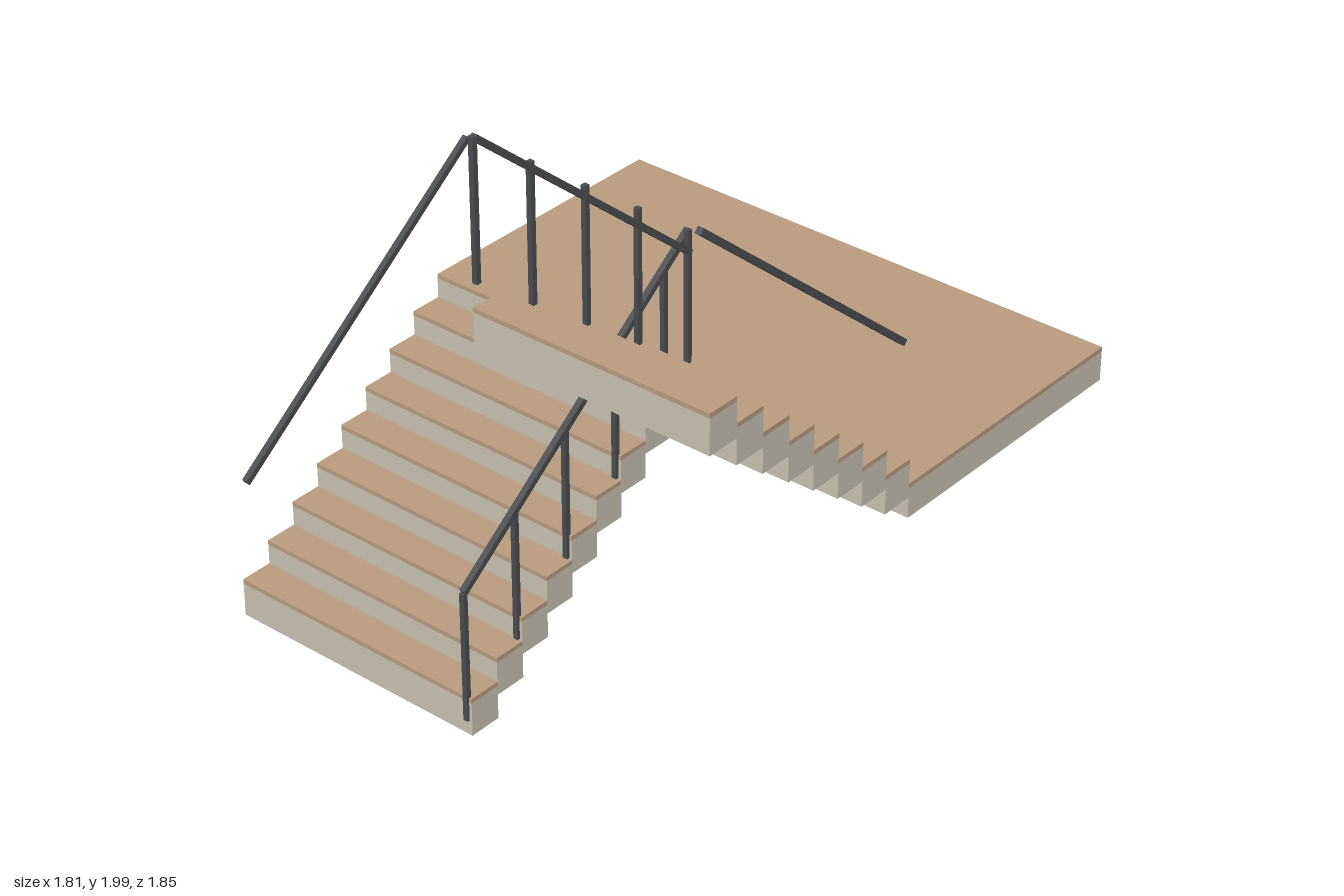
import * as THREE from 'three';

const concrete = new THREE.MeshStandardMaterial({ name: 'concrete', color: 0xc8c2b2 });
const tread = new THREE.MeshStandardMaterial({ name: 'woodTread', color: 0xba9c7f });
const metal = new THREE.MeshStandardMaterial({ name: 'darkMetal', color: 0x4a4d50 });

const STEPS = 8, DEPTH = 0.1106, RISE = 0.0833, HEIGHT = 0.13;
const FRONT = 0.915, LANDING_EDGE = 0.03, COVER = 0.015, BAR = 0.02;

// Box given by its extents on each axis
function block(name, material, x0, x1, y0, y1, z0, z1) {
  const mesh = new THREE.Mesh(new THREE.BoxGeometry(x1 - x0, y1 - y0, z1 - z0), material);
  mesh.position.set((x0 + x1) / 2, (y0 + y1) / 2, (z0 + z1) / 2);
  mesh.name = name;
  return mesh;
}

// Concrete slab with a thin wooden cover
function slab(name, x0, x1, y0, y1, z0, z1) {
  const group = new THREE.Group();
  group.name = name;
  group.add(block(name + 'Base', concrete, x0, x1, y0, y1 - COVER, z0, z1));
  group.add(block(name + 'Cover', tread, x0, x1, y1 - COVER, y1, z0, z1));
  return group;
}

// Flight of equal steps; dir is the z direction of the climb
function flight(name, x0, x1, firstTop, zStart, dir) {
  const group = new THREE.Group();
  group.name = name;
  for (let i = 0; i < STEPS; i++) {
    const a = zStart + dir * i * DEPTH, b = a + dir * DEPTH;
    const top = firstTop + i * RISE;
    group.add(slab('step', x0, x1, top - HEIGHT, top, Math.min(a, b), Math.max(a, b)));
  }
  return group;
}

// Square sloping bar between two (z, y) points
function handrail(name, x, z0, y0, z1, y1) {
  const length = Math.hypot(z1 - z0, y1 - y0);
  const mesh = new THREE.Mesh(new THREE.BoxGeometry(BAR, BAR, length), metal);
  mesh.position.set(x, (y0 + y1) / 2, (z0 + z1) / 2);
  mesh.rotation.x = -Math.atan2(y1 - y0, z1 - z0);
  mesh.name = name;
  return mesh;
}

// Five uprights, changing height by dy from the front one backwards
function posts(name, x, bottom, top, dy) {
  const group = new THREE.Group();
  group.name = name;
  const h = 0.0085;
  for (let i = 0; i < 5; i++) {
    const z = FRONT - i * 0.22;
    group.add(block('post', metal, x - h, x + h, bottom + i * dy, top + i * dy, z - h, z + h));
  }
  return group;
}

export function createModel() {
  const model = new THREE.Group();
  model.name = 'staircase';

  // Stairs and half landing
  model.add(flight('lowerFlight', -0.905, 0.025, HEIGHT, FRONT, -1));
  model.add(slab('landing', -0.905, 0.9, 0.68, 0.795, -0.925, LANDING_EDGE));
  model.add(flight('upperFlight', 0.08, 0.9, 0.879, LANDING_EDGE, 1));

  // Lower railings
  for (const x of [-0.863, 0.007]) model.add(handrail('lowerHandrail', x, 0.915, 0.497, -0.075, 1.243));
  model.add(posts('lowerPosts', 0.007, 0.05, 0.495, 0.167));

  // Upper railings
  for (const x of [0.097, 0.86]) model.add(handrail('upperHandrail', x, 0.912, 1.985, 0.03, 1.247));
  model.add(posts('upperPosts', 0.097, 1.545, 1.99, -0.1665));

  return model;
}
